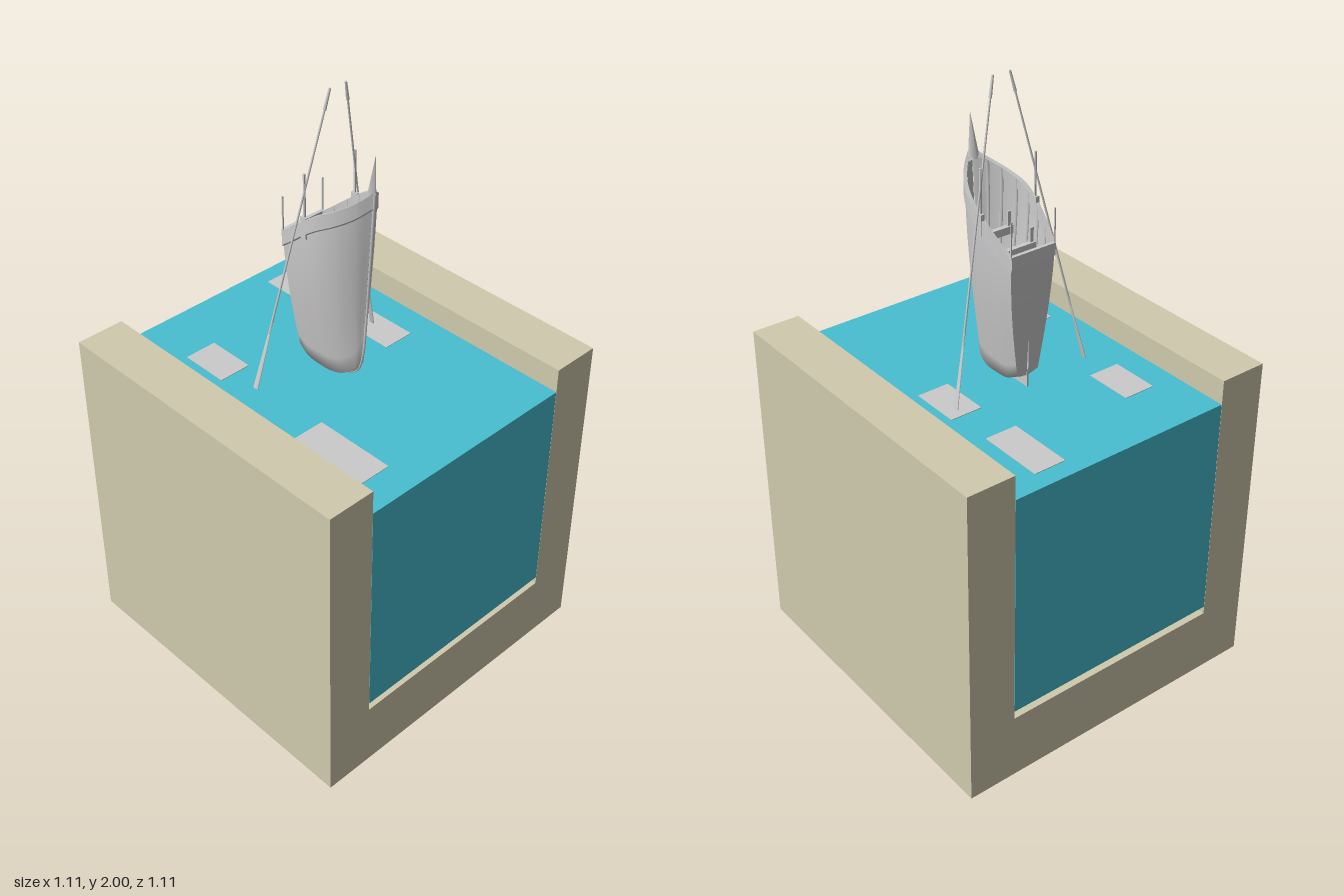
import * as THREE from 'three';

const mat = (color = 0xcccccc, side = THREE.DoubleSide) => new THREE.MeshStandardMaterial({ color, side });
const grey = mat();
const V = (x, y, z) => new THREE.Vector3(x, y, z);

function add(parent, name, geo, material = grey) {
  const m = new THREE.Mesh(geo, material);
  m.name = name;
  parent.add(m);
  return m;
}

function box(parent, name, size, pos, material = grey) {
  const m = add(parent, name, new THREE.BoxGeometry(...size), material);
  m.position.set(...pos);
  return m;
}

// Surface through rows of points
function loft(rows) {
  const n = rows[0].length, idx = [];
  for (let i = 0; i < rows.length - 1; i++)
    for (let j = 0; j < n - 1; j++) {
      const a = i * n + j, b = a + n;
      idx.push(a, b, a + 1, b, b + 1, a + 1);
    }
  const g = new THREE.BufferGeometry().setFromPoints(rows.flat());
  g.setIndex(idx);
  g.computeVertexNormals();
  return g;
}

// Hull lines, stern to bow: half width, height, z
const sheer = new THREE.CatmullRomCurve3([
  V(.08, 1.5, -.14), V(.093, 1.54, -.09), V(.102, 1.59, -.03), V(.1, 1.63, .025),
  V(.079, 1.66, .08), V(.043, 1.69, .127), V(.005, 1.72, .157)]);
const base = new THREE.CatmullRomCurve3([
  V(.04, 1.09, -.118), V(.044, 1.065, -.075), V(.045, 1.06, -.025), V(.043, 1.06, .025),
  V(.033, 1.07, .07), V(.017, 1.1, .103), V(.003, 1.17, .122)]);
const N = 36, STEPS = 10;
const stations = Array.from({ length: N + 1 }, (_, i) => i / N);

// Half cross-section from keel line to sheer, shrunk by off
function half(t, off = 0) {
  const s = sheer.getPoint(t), b = base.getPoint(t), k = off ? .97 : 1, pts = [];
  pts.push(V(0, b.y - .012 + off * 3, b.z * k));
  for (let i = 0; i <= STEPS; i++) {
    const h = i / STEPS;
    const x = b.x + (s.x - b.x) * Math.sin(h * Math.PI / 2);
    pts.push(V(Math.max(x - off, .001), THREE.MathUtils.lerp(b.y, s.y, h) + off * 3 * (1 - h),
      THREE.MathUtils.lerp(b.z, s.z, h) * k));
  }
  return pts;
}
const flip = p => V(-p.x, p.y, p.z);
function section(t, off) {
  const h = half(t, off);
  return [...h.slice(1).reverse().map(flip), ...h];
}

function buildHull(boat) {
  add(boat, 'hullOuter', loft(stations.map(t => section(t))));
  add(boat, 'hullInner', loft(stations.map(t => section(t, .006))));
  for (const off of [0, .006])
    add(boat, 'transom', loft(half(0, off).map(p => [flip(p), p])));
  box(boat, 'transomRail', [.162, .04, .012], [0, 1.49, -.137]);

  // Gunwale: cap and outer rubbing band
  for (const side of [-1, 1])
    add(boat, 'gunwale', loft(stations.map(t => {
      const s = sheer.getPoint(t);
      return [[-.01, -.03], [-.01, .003], [.004, .003], [.004, -.045], [-.001, -.05]]
        .map(([dx, dy]) => V(side * Math.max(s.x + dx, .001), s.y + dy, s.z));
    })).toNonIndexed()).geometry.computeVertexNormals();

  // Bow deck and raised stem head
  add(boat, 'bowDeck', loft([.86, .9, .94, .97, 1].map(t => {
    const p = sheer.getPoint(t);
    return [flip(p), V(0, p.y + .008, p.z), p];
  })));
  const stem = new THREE.ConeGeometry(.021, .14, 4);
  const pos = stem.attributes.position;
  for (let i = 0; i < pos.count; i++) pos.setZ(i, pos.getZ(i) * .8 + (pos.getY(i) + .07) * .11);
  stem.translate(0, 1.77, .143);
  stem.computeVertexNormals();
  add(boat, 'stemHead', stem);

  // Keel, stem and skeg
  const keel = new THREE.CatmullRomCurve3([...stations.map(t => half(t)[0]), V(0, 1.45, .142), V(0, 1.72, .158)]);
  add(boat, 'keel', new THREE.TubeGeometry(keel, 50, .004, 6));
  const skeg = new THREE.Shape([[.12, 1.09], [.12, 1.035], [.09, 1.03], [.02, 1.05]]
    .map(([a, b]) => new THREE.Vector2(a, b)));
  const sg = new THREE.ExtrudeGeometry(skeg, { depth: .006, bevelEnabled: false });
  sg.translate(0, 0, -.003).rotateY(Math.PI / 2);
  add(boat, 'skeg', sg);
}

function buildInterior(boat) {
  // Ribs following the inner skin
  for (const t of [.14, .28, .42, .56, .7, .82])
    add(boat, 'rib', loft([[t, .006], [t, .01], [t + .02, .01], [t + .02, .006]].map(([u, o]) => section(u, o))));

  // Floor boards and centre plank
  for (const x of [-.028, -.014, .014, .028])
    box(boat, 'floorBoard', [.011, .015, .15], [x, 1.11, -.02]);
  box(boat, 'keelson', [.006, .03, .21], [0, 1.12, 0]);

  // Seats with posts
  for (const [z, w, d, y] of [[-.037, .176, .016, 1.46], [.058, .156, .016, 1.48], [-.122, .145, .022, 1.36]]) {
    box(boat, 'seat', [w, .025, d], [0, y, z]);
    box(boat, 'seatPost', [.006, y - 1.1, .006], [0, (y + 1.1) / 2, z]);
    for (const s of [-1, 1])
      box(boat, 'seatKnee', [.012, .06, .005], [s * (w / 2 - .012), y + .03, z]);
  }
}

function buildOar(side) {
  const oar = new THREE.Group();
  oar.name = 'oar';
  const top = V(side * .03, 2, .01), tip = V(side * .25, 1.035, -.09);
  const len = top.distanceTo(tip);
  const shaft = add(oar, 'shaft', new THREE.CylinderGeometry(.003, .0035, len * .8, 8));
  shaft.position.y = len * .1;
  const grip = add(oar, 'grip', new THREE.CylinderGeometry(.0035, .005, .065, 8));
  grip.position.y = len / 2 - .0325;
  const blade = new THREE.CylinderGeometry(.004, .011, .24, 10, 4);
  blade.scale(.28, 1, 1);
  add(oar, 'blade', blade).position.y = -len / 2 + .12;
  oar.quaternion.setFromUnitVectors(V(0, 1, 0), top.clone().sub(tip).normalize());
  oar.position.copy(top).add(tip).multiplyScalar(.5);
  return oar;
}

export function createModel() {
  const model = new THREE.Group();

  // U-shaped channel
  const u = new THREE.Shape([[-.557, 0], [.557, 0], [.557, 1.12], [.393, 1.12], [.393, .23],
    [-.393, .23], [-.393, 1.12], [-.557, 1.12]].map(([x, y]) => new THREE.Vector2(x, y)));
  const channel = new THREE.ExtrudeGeometry(u, { depth: 1.114, bevelEnabled: false });
  add(model, 'channel', channel.translate(0, 0, -.557), mat(0xd0cbae, THREE.FrontSide));

  // Water block and the flat slabs on it
  box(model, 'water', [.784, .78, 1.114], [0, .648, 0], mat(0x48bfd0, THREE.FrontSide));
  for (const [x0, x1, z0, z1] of [[-.3, -.19, -.355, -.19], [.165, .275, -.495, -.27],
    [.185, .295, -.13, .04], [-.33, -.22, .17, .447]])
    box(model, 'slab', [x1 - x0, .004, z1 - z0], [(x0 + x1) / 2, 1.038, (z0 + z1) / 2]);

  // Rowing boat
  const boat = new THREE.Group();
  boat.name = 'rowingBoat';
  buildHull(boat);
  buildInterior(boat);
  for (const s of [-1, 1]) {
    box(boat, 'oarlock', [.005, .17, .006], [s * .1, 1.665, -.022]);
    box(boat, 'oarlockPad', [.012, .07, .022], [s * .101, 1.575, -.022]);
    box(boat, 'sternPin', [.004, .12, .004], [s * .08, 1.56, -.138]);
    boat.add(buildOar(s));
  }
  model.add(boat);
  return model;
}
